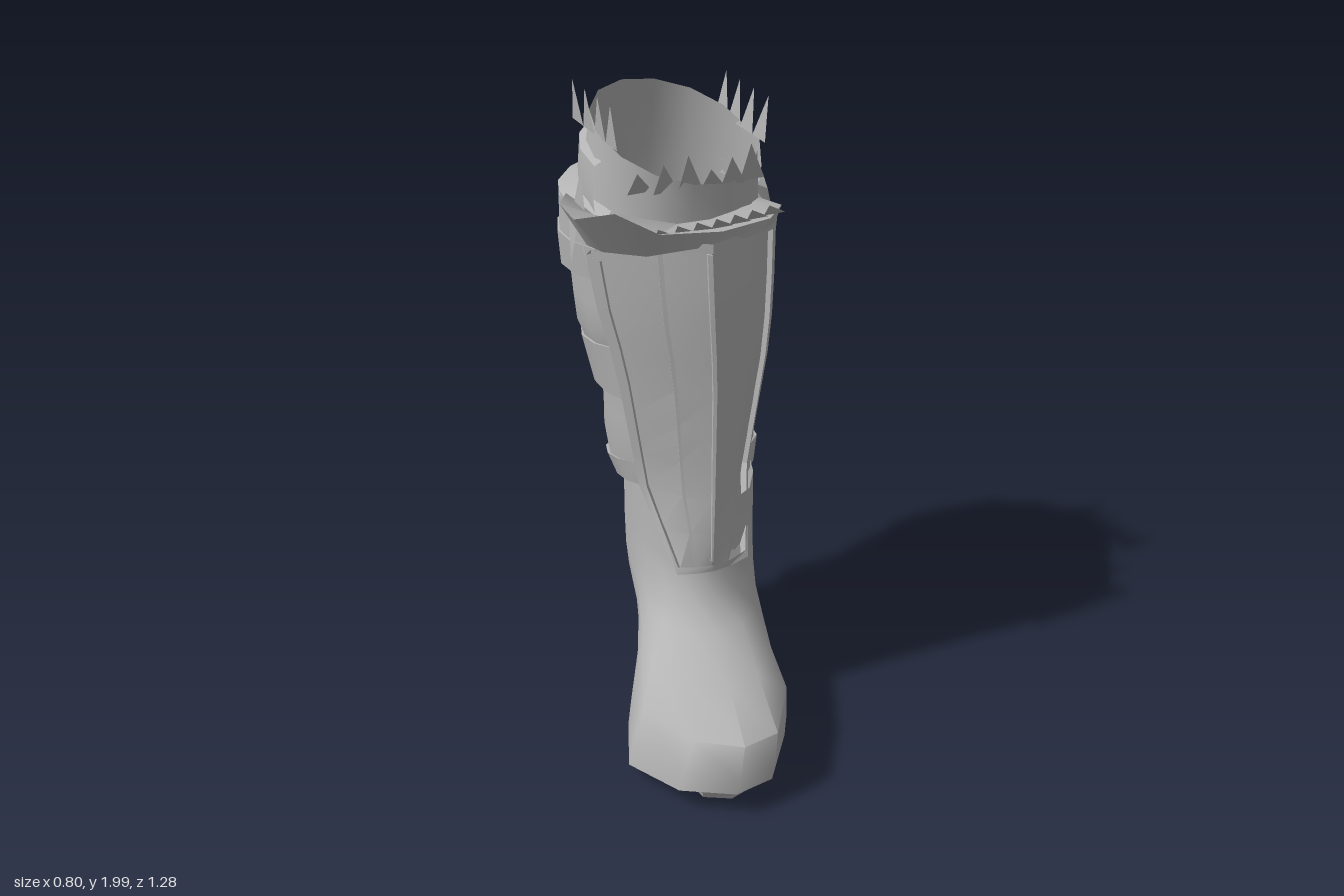
import * as THREE from 'three';
import { toCreasedNormals } from 'three/addons/utils/BufferGeometryUtils.js';

const leather = new THREE.MeshStandardMaterial({ color: 0xb4b4b4, side: THREE.DoubleSide });
leather.name = 'grey leather';

// Skin a list of rows of [x, y, z] points; optionally close each row and cap the ends.
function loft(rows, { closed = false, capStart = false, capEnd = false, crease = 0.75 } = {}) {
  const n = rows[0].length, pos = rows.flat(2), idx = [];
  for (let r = 0; r < rows.length - 1; r++)
    for (let i = 0; i < (closed ? n : n - 1); i++) {
      const a = r * n + i, b = r * n + (i + 1) % n;
      idx.push(a, b, b + n, a, b + n, a + n);
    }
  const cap = (r, flip) => {
    const c = pos.length / 3;
    for (let k = 0; k < 3; k++) pos.push(rows[r].reduce((s, p) => s + p[k], 0) / n);
    for (let i = 0; i < n; i++) {
      const a = r * n + i, b = r * n + (i + 1) % n;
      flip ? idx.push(c, b, a) : idx.push(c, a, b);
    }
  };
  if (capStart) cap(0, true);
  if (capEnd) cap(rows.length - 1, false);
  const g = new THREE.BufferGeometry();
  g.setAttribute('position', new THREE.Float32BufferAttribute(pos, 3));
  g.setIndex(idx);
  return toCreasedNormals(g, crease);
}

const lerp = THREE.MathUtils.lerp;
const span = (a, b, n) => Array.from({ length: n + 1 }, (_, i) => lerp(a, b, i / n));

// Curved shin surface: u runs across (-1..1), y is height. [y, centre x, half width, front z, depth]
const shin = [
  [0.54, -0.005, 0.11, 0.125, 0.03], [0.78, 0.01, 0.175, 0.125, 0.19], [1.2, 0.02, 0.25, 0.135, 0.22],
  [1.4, 0.01, 0.285, 0.145, 0.26], [1.63, 0.005, 0.3, 0.14, 0.27],
];
function shinPoint(u, y, off = 0) {
  let k = 0;
  while (k < shin.length - 2 && y > shin[k + 1][0]) k++;
  const t = THREE.MathUtils.clamp((y - shin[k][0]) / (shin[k + 1][0] - shin[k][0]), 0, 1);
  const [, cx, w, zf, d] = shin[k].map((v, i) => lerp(v, shin[k + 1][i], t));
  const chamfer = 0.08 * u ** 6 * THREE.MathUtils.smoothstep(y, 1.4, 1.63);
  return [cx + u * (w + off * Math.abs(u)), y - chamfer, zf - d * Math.abs(u) ** 1.8 + off];
}

// The guard is faceted: points between two folds lie on a straight line
const folds = [-1, -0.55, -0.11, 0.4, 1];
function facetPoint(u, y, off) {
  let k = 0;
  while (k < folds.length - 2 && u > folds[k + 1]) k++;
  const t = (u - folds[k]) / (folds[k + 1] - folds[k]);
  const a = shinPoint(folds[k], y, off), b = shinPoint(folds[k + 1], y, off);
  return a.map((v, i) => lerp(v, b[i], t));
}

export function createModel() {
  const model = new THREE.Group();
  const add = (name, geo, parent = model) => {
    const m = new THREE.Mesh(geo, leather);
    m.name = name;
    parent.add(m);
  };
  const group = (name) => {
    const g = new THREE.Group();
    g.name = name;
    model.add(g);
    return g;
  };

  // Foot and ankle: the foot outline shrinks into the ankle outline going up
  const foot = [[-0.19, 0.64], [-0.33, 0.54], [-0.4, 0.33], [-0.31, 0.13], [-0.19, -0.06], [-0.08, -0.25], [-0.02, -0.42],
    [0.1, -0.485], [0.23, -0.48], [0.28, -0.3], [0.22, -0.02], [0.15, 0.2], [0.09, 0.42], [-0.06, 0.62]];
  const ankle = [[0.0, 0.1], [-0.06, 0.08], [-0.11, 0.02], [-0.13, -0.06], [-0.13, -0.18], [-0.12, -0.3], [-0.06, -0.41],
    [0.08, -0.46], [0.21, -0.45], [0.27, -0.3], [0.25, -0.15], [0.21, -0.04], [0.15, 0.05], [0.08, 0.09]];
  const footRing = (y, w, wx = w, inset = 0, toeLift = 0) => foot.map(([x, z], i) => [
    lerp(lerp(ankle[i][0], x, wx), -0.05, inset),
    y + toeLift * THREE.MathUtils.smoothstep(z, 0.3, 0.64),
    lerp(lerp(ankle[i][1], z, w), 0.08, inset)]);
  add('footAndAnkle', loft([footRing(0.06, 0.99, 1, 0, 0.03), footRing(0.14, 1, 0.95), footRing(0.235, 0.95, 0.8),
    footRing(0.3, 0.56, 0.5), footRing(0.36, 0.2, 0.19), footRing(0.44, 0.05), footRing(0.55, 0), footRing(0.75, 0)],
  { closed: true, crease: 1.1 }));
  add('sole', loft([footRing(0.04, 1, 1, 0.06, 0.03), footRing(0.06, 0.99, 1, 0, 0.03)], { closed: true, capStart: true, crease: 0.5 }));
  // Heel and toe pads under the sole, as [x, z, bottom height]
  const pad = (pts) => loft([pts.map(([x, z, y]) => [x * 0.96, y, z * 0.97]), pts.map(([x, z]) => [x, 0.065, z])],
    { closed: true, capStart: true, crease: 0.5 });
  add('heelPad', pad([[-0.05, -0.12, 0.045], [-0.02, -0.4, 0.012], [0.1, -0.485, 0.01], [0.23, -0.475, 0.03], [0.28, -0.32, 0.04], [0.24, -0.12, 0.045]]));
  add('toePad', pad([[-0.27, 0.47, 0.035], [-0.26, 0.55, 0.03], [-0.18, 0.59, 0.025], [-0.09, 0.57, 0.03], [-0.04, 0.46, 0.035]]));

  // Wrapped calf bands: each row is [y, right x, left x, back z, drop at the back]
  const bandRow = ([y, xr, xl, zb, drop]) => {
    const cx = (xr + xl) / 2, rx = (xr - xl) / 2, cz = zb * 0.52;
    const arc = span(-0.5, Math.PI + 0.5, 12).map((a) =>
      [cx + rx * Math.cos(a), y - drop * Math.sin(a), lerp(cz, zb, Math.sin(a))]);
    return [shinPoint(0.97, y, -0.01), ...arc, shinPoint(-0.97, y, -0.01)];
  };
  const bands = group('calfBands');
  [
    [[0.7, 0.26, -0.12, -0.45, 0.03], [0.71, 0.29, -0.15, -0.48, 0.04], [0.78, 0.31, -0.17, -0.525, 0.06], [0.785, 0.28, -0.15, -0.49, 0.05]],
    [[0.75, 0.29, -0.16, -0.505, 0.04], [0.85, 0.30, -0.175, -0.52, 0.02], [0.94, 0.295, -0.175, -0.52, 0.01], [1.03, 0.295, -0.18, -0.52, 0.01]],
    [[1.035, 0.28, -0.17, -0.5, 0], [1.03, 0.315, -0.205, -0.54, 0], [1.19, 0.34, -0.235, -0.578, 0.035], [1.195, 0.3, -0.2, -0.54, 0.035]],
    [[1.17, 0.325, -0.22, -0.56, 0.03], [1.24, 0.345, -0.245, -0.592, 0.01], [1.33, 0.35, -0.25, -0.613, 0.01], [1.42, 0.36, -0.255, -0.625, 0.01]],
    [[1.425, 0.35, -0.25, -0.6, 0], [1.42, 0.39, -0.28, -0.642, 0.02], [1.53, 0.4, -0.29, -0.638, 0.01], [1.535, 0.37, -0.27, -0.61, 0]],
    [[1.53, 0.385, -0.285, -0.63, 0], [1.64, 0.36, -0.285, -0.625, -0.02], [1.67, 0.28, -0.23, -0.54, 0]],
  ].forEach((rows, i) => add('calfBand' + (i + 1), loft(rows.map(bandRow), { crease: 0.6 }), bands));

  // Shin guard: faceted plate with a raised border and a raised centre panel edged by thin ribs
  const slab = (us, y0, y1, ny, inner, outer) => loft(span(y0, y1, ny).map((y) => [
    ...us.map((u) => facetPoint(u, y, outer)),
    ...[...us].reverse().map((u) => facetPoint(u, y, inner)),
  ]), { closed: true, capStart: us.length < 3, capEnd: us.length < 3, crease: 0.35 });
  const guard = group('shinGuard');
  add('guardPlate', slab(folds, 0.54, 1.63, 9, -0.015, 0), guard);
  [[-1, -0.92], [0.92, 1]].forEach((us) => add('guardSideBorder', slab(us, 0.55, 1.62, 9, -0.005, 0.012), guard));
  [[-0.55, -0.51], [-0.15, -0.11]].forEach((us) => add('guardRib', slab(us, 0.57, 1.6, 9, -0.005, 0.008), guard));
  [[0.54, 0.56], [1.605, 1.635]].forEach(([a, b]) => add('guardEndBorder', slab(folds, a, b, 1, -0.015, 0.012), guard));

  // Flared collar over the guard: base, lip and inner edge
  add('collar', loft([
    [[-0.27, 1.6, -0.32], [-0.29, 1.57, -0.15], [-0.28, 1.58, -0.06], [-0.2, 1.6, 0.07], [-0.1, 1.62, 0.12], [0, 1.62, 0.13],
      [0.15, 1.62, 0.1], [0.25, 1.6, 0], [0.3, 1.54, -0.13]],
    [[-0.28, 1.67, -0.32], [-0.36, 1.7, -0.18], [-0.37, 1.7, -0.05], [-0.31, 1.76, 0.1], [-0.2, 1.7, 0.16], [0, 1.67, 0.15],
      [0.18, 1.66, 0.1], [0.27, 1.65, 0], [0.31, 1.6, -0.14]],
    [[-0.24, 1.62, -0.3], [-0.23, 1.63, -0.2], [-0.22, 1.65, -0.1], [-0.16, 1.65, -0.02], [-0.08, 1.66, 0.02], [0.02, 1.66, 0.03],
      [0.12, 1.66, 0], [0.2, 1.65, -0.06], [0.27, 1.62, -0.16]],
  ], { crease: 0.5 }));

  // Inner cuff, open at the top, leaning forward, high at the back and low in front
  const cuffPoint = (a, t) => {
    const c = Math.cos(a), s = Math.sin(a), r = lerp(1.06, 0.96, t);
    return [0.03 + 0.255 * r * c, lerp(1.56, 1.845 - 0.03 * c - 0.085 * s, t), lerp(-0.27, -0.23, t) + 0.265 * r * s];
  };
  add('innerCuff', loft([0, 0.5, 1].map((t) => span(0, Math.PI * 2, 14).map((a) => cuffPoint(a, t)))));

  // Folded roll around the back of the cuff
  add('cuffRoll', loft([[1.62, 1.04, 0], [1.7, 1.07, 0], [1.79, 1.04, 0.03], [1.8, 0.95, 0.03]].map(([y, r, lift]) =>
    span(Math.PI * 0.97, Math.PI * 2.03, 9).map((a) =>
      [0.03 + 0.26 * r * Math.cos(a), y - lift * Math.sin(a), -0.23 + 0.32 * r * Math.sin(a)])), { crease: 0.6 }));

  // Torn edges: rows of thin triangular tatters
  const torn = group('tornEdges');
  const tatters = (name, list) => list.forEach((t) => {
    const g = new THREE.BufferGeometry();
    g.setAttribute('position', new THREE.Float32BufferAttribute(t.flat(), 3));
    g.computeVertexNormals();
    add(name, g, torn);
  });
  [[-0.21, 1.86, 1.995], [0.265, 1.81, 1.95]].forEach(([x, base, tip]) =>
    tatters('sideTatter', [0, 1, 2, 3].map((i) => {
      const z = -0.1 - i * 0.08;
      return [[x, base, z], [x, base, z - 0.08], [x + Math.sign(x) * 0.015, tip, z - 0.01 - 0.01 * i]];
    })));
  tatters('frontTatter', span(-0.2, 0.14, 5).map((x, i) => {
    const z = 0.02 - 1.2 * (x - 0.02) ** 2;
    return [[x, 1.74, z - 0.02], [x + 0.08, 1.74, z - 0.02], [x + 0.01, 1.82 + 0.025 * (i % 3), z + 0.03]];
  }));
  tatters('collarTatter', span(-0.2, 0.16, 6).map((x) => {
    const z = 0.12 - 0.15 * Math.max(0, x);
    return [[x, 1.67, z], [x + 0.07, 1.67, z], [x - 0.02, 1.73, z + 0.07]];
  }));
  tatters('knotTatter', [
    [[-0.27, 1.62, -0.2], [-0.28, 1.62, -0.28], [-0.27, 1.77, -0.23]], [[-0.28, 1.64, -0.28], [-0.28, 1.56, -0.25], [-0.28, 1.66, -0.38]],
    [[-0.29, 1.62, -0.24], [-0.29, 1.56, -0.18], [-0.29, 1.47, -0.12]], [[-0.29, 1.62, -0.28], [-0.29, 1.6, -0.22], [-0.3, 1.48, -0.25]],
  ]);
  return model;
}
